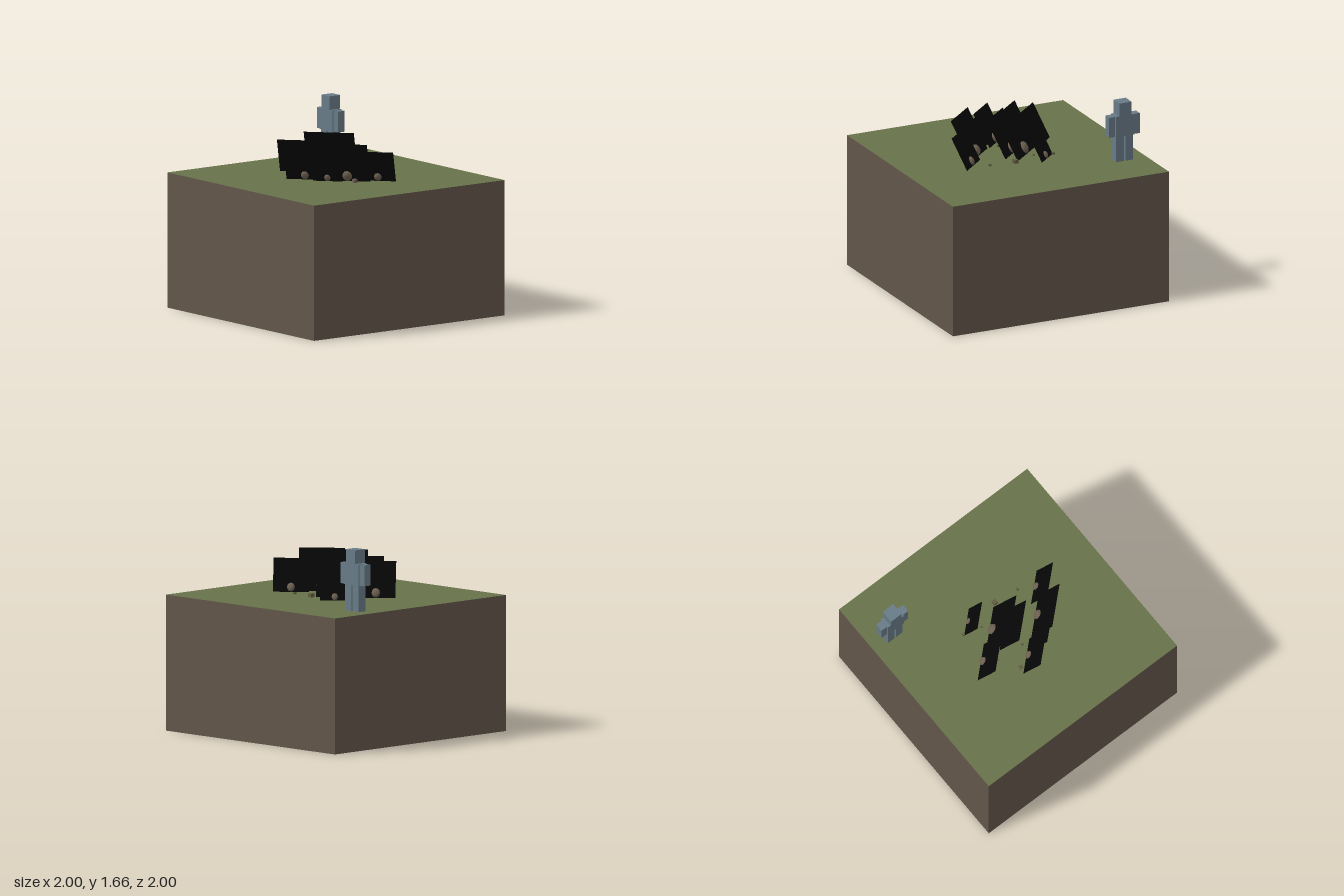
import * as THREE from 'three';

const mat = (name, color, side = THREE.FrontSide) =>
  Object.assign(new THREE.MeshStandardMaterial({ color, side }), { name });

export function createModel() {
  const model = new THREE.Group();
  model.name = 'terrainBlock';

  const soil = mat('soil brown', 0x62564a);
  const grass = mat('grass green', 0x67724a);
  const slate = mat('slate blue', 0x687b87);
  const black = mat('foliage black', 0x060606, THREE.DoubleSide);
  const stone = mat('stone brown', 0x6c5f50);
  stone.flatShading = true;
  const moss = mat('moss olive', 0x605c41);

  const GROUND = 1.142;

  const box = (parent, name, material, w, h, d, x, y, z) => {
    const mesh = new THREE.Mesh(new THREE.BoxGeometry(w, h, d), material);
    mesh.name = name;
    mesh.position.set(x, y, z);
    parent.add(mesh);
    return mesh;
  };

  // Block of earth with a grass-coloured top face
  box(model, 'ground', [soil, soil, grass, soil, soil, soil], 2, GROUND, 2, 0, GROUND / 2, 0);

  // Blocky standing figure
  const figure = new THREE.Group();
  figure.name = 'figure';
  figure.position.set(-0.79, GROUND, -0.553);
  model.add(figure);
  box(figure, 'torso', slate, 0.17, 0.18, 0.095, 0, 0.312, 0);
  box(figure, 'head', slate, 0.112, 0.115, 0.112, 0, 0.46, 0);
  for (const side of [-1, 1]) {
    box(figure, side > 0 ? 'leftLeg' : 'rightLeg', slate, 0.072, 0.222, 0.08, side * 0.043, 0.111, 0);
    box(figure, side > 0 ? 'leftArm' : 'rightArm', slate, 0.056, 0.176, 0.07, side * 0.114, 0.31, 0);
  }

  // Leaning square foliage cards, each with a stone at its foot: [x, z, size]
  const cards = [
    [-0.24, -0.252, 0.243],
    [-0.369, 0.10, 0.327],
    [-0.14, -0.074, 0.424],
    [-0.047, -0.006, 0.36],
    [-0.038, 0.293, 0.316],
    [0.141, 0.196, 0.25],
    [0.239, 0.06, 0.384],
    [0.389, -0.144, 0.30],
  ];
  const stoneGeometry = new THREE.IcosahedronGeometry(1, 1);
  for (const [x, z, size] of cards) {
    const plant = new THREE.Group();
    plant.name = 'plant';
    plant.rotation.set(0.478, Math.atan2(0.676, 0.74), 0, 'YXZ');
    plant.position.set(x, GROUND, z);

    const card = new THREE.Mesh(new THREE.PlaneGeometry(size, size), black);
    card.name = 'foliageCard';
    card.position.y = size / 2;
    plant.add(card);

    const rock = new THREE.Mesh(stoneGeometry, stone);
    rock.name = 'footStone';
    rock.position.y = size * 0.14;
    rock.scale.set(size * 0.11, size * 0.13, size * 0.08);
    plant.add(rock);
    model.add(plant);
  }

  // Scattered pebbles: [x, z, size, height, material]
  const pebbles = [
    [0.335, 0.06, 0.034, 0.03, stone],
    [-0.255, 0.16, 0.03, 0.02, stone],
    [0.05, -0.24, 0.038, 0.03, moss],
    [0.272, -0.215, 0.02, 0.016, moss],
    [-0.33, -0.18, 0.022, 0.016, moss],
    [-0.17, -0.14, 0.016, 0.012, moss],
    [-0.135, 0.34, 0.032, 0.006, moss],
    [0.0, 0.19, 0.02, 0.012, moss],
  ];
  for (const [x, z, size, h, material] of pebbles) {
    box(model, 'pebble', material, size, h, size, x, GROUND + h / 2, z);
  }

  return model;
}
